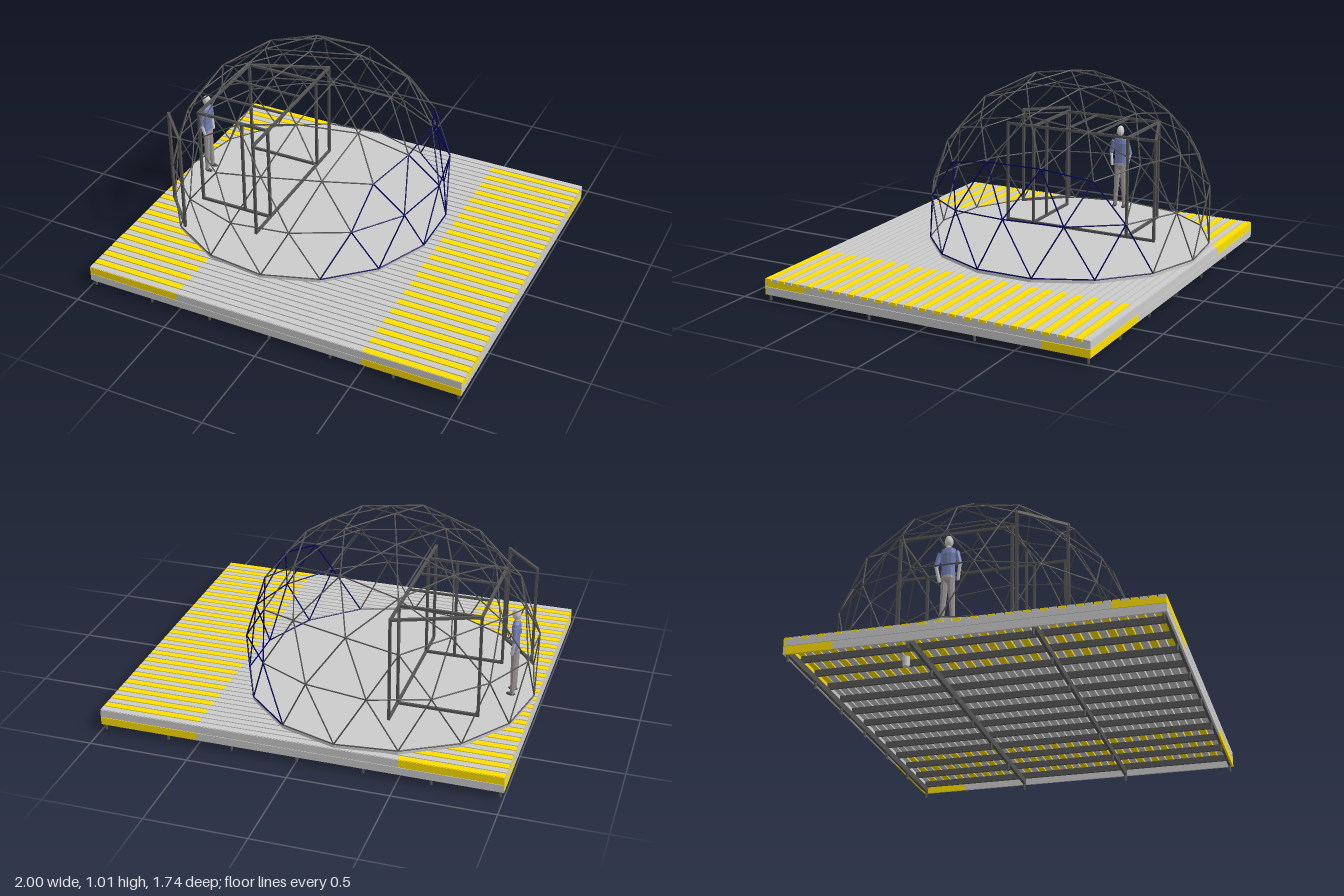
import * as THREE from 'three';

const mat = (color) => new THREE.MeshStandardMaterial({ color, flatShading: true });
const GREY = mat(0xcccccc), YELLOW = mat(0xffe000), STEEL = mat(0x555555), NAVY = mat(0x00005a);
const SHIRT = mat(0x7480b4), TROUSERS = mat(0x9c9696), DARK = mat(0x4a4a50);
const V = (x, y, z) => new THREE.Vector3(x, y, z);

function add(parent, name, geo, material, x = 0, y = 0, z = 0) {
  const m = new THREE.Mesh(geo, material);
  m.name = name;
  m.position.set(x, y, z);
  parent.add(m);
  return m;
}

function group(parent, name) {
  const g = new THREE.Group();
  g.name = name;
  parent.add(g);
  return g;
}

// Box given by its two opposite corners
function block(parent, name, material, x0, x1, y0, y1, z0, z1) {
  return add(parent, name, new THREE.BoxGeometry(x1 - x0, y1 - y0, z1 - z0), material,
    (x0 + x1) / 2, (y0 + y1) / 2, (z0 + z1) / 2);
}

// Round rod between two points
function rod(parent, name, a, b, r, material, sides = 5) {
  const m = add(parent, name, new THREE.CylinderGeometry(r, r, a.distanceTo(b), sides), material);
  m.position.copy(a).add(b).multiplyScalar(0.5);
  m.quaternion.setFromUnitVectors(V(0, 1, 0), b.clone().sub(a).normalize());
  return m;
}

// Square bar between two points
function bar(parent, name, a, b, w = 0.013) {
  const m = add(parent, name, new THREE.BoxGeometry(w, w, a.distanceTo(b) + w), STEEL);
  m.position.copy(a).add(b).multiplyScalar(0.5);
  m.lookAt(b);
  return m;
}

// Upright rectangular frame standing between two plan points
function frame(parent, name, x0, z0, x1, z1, y0, y1) {
  const g = group(parent, name);
  bar(g, 'post', V(x0, y0, z0), V(x0, y1, z0));
  bar(g, 'post', V(x1, y0, z1), V(x1, y1, z1));
  bar(g, 'topRail', V(x0, y1, z0), V(x1, y1, z1));
  bar(g, 'bottomRail', V(x0, y0, z0), V(x1, y0, z1));
}

const TOP = 0.115, FLOOR = 0.131, CX = -0.265, CZ = -0.14, R = 0.737;

function buildDeck(parent) {
  const deck = group(parent, 'deck');
  // Planks, with the yellow length alternating between the two ends
  const rows = 44, pitch = 1.744 / rows;
  for (let i = 0; i < rows; i++) {
    const z = -0.872 + i * pitch + 0.003, z1 = z + pitch - 0.006;
    const left = i % 2 === 0;
    block(deck, 'yellowPlank', YELLOW, left ? -1 : 0.5, left ? -0.5 : 1, 0.098, TOP, z, z1);
    block(deck, 'plank', GREY, left ? -0.5 : -1, left ? 1 : 0.5, 0.098, TOP, z, z1);
  }
  // Fascia boards in two courses on all four sides
  for (const s of [-1, 1]) {
    const z0 = s > 0 ? 0.862 : -0.872, x0 = s > 0 ? 0.99 : -1;
    block(deck, 'upperFascia', YELLOW, -1, -0.5, 0.074, 0.113, z0, z0 + 0.01);
    block(deck, 'upperFascia', GREY, -0.5, 1, 0.074, 0.113, z0, z0 + 0.01);
    block(deck, 'lowerFascia', GREY, -1, 0.5, 0.033, 0.072, z0, z0 + 0.01);
    block(deck, 'lowerFascia', YELLOW, 0.5, 1, 0.033, 0.072, z0, z0 + 0.01);
    block(deck, 'upperSideFascia', YELLOW, x0, x0 + 0.01, 0.074, 0.105, 0.635, 0.862);
    block(deck, 'upperSideFascia', GREY, x0, x0 + 0.01, 0.074, 0.105, -0.862, 0.635);
    block(deck, 'lowerSideFascia', GREY, x0, x0 + 0.01, 0.033, 0.072, -0.635, 0.862);
    block(deck, 'lowerSideFascia', YELLOW, x0, x0 + 0.01, 0.033, 0.072, -0.862, -0.635);
  }
  // Joists, bearers and feet
  for (let i = 0; i < 13; i++) {
    const x = -0.982 + i * 1.964 / 12;
    block(deck, 'joist', STEEL, x - 0.006, x + 0.006, 0.066, 0.098, -0.862, 0.862);
  }
  for (const z of [-0.855, -0.285, 0.285, 0.855]) {
    block(deck, 'bearer', STEEL, -0.99, 0.99, 0.034, 0.066, z - 0.007, z + 0.007);
    for (let i = 0; i < 7; i++) {
      add(deck, 'foot', new THREE.CylinderGeometry(0.007, 0.007, 0.05, 8), STEEL, -0.982 + i * 0.3273, 0.025, z);
    }
  }
  // Drain pipe through the floor
  add(deck, 'drainPipe', new THREE.CylinderGeometry(0.017, 0.017, 0.085, 16), GREY, -0.695, 0.091, -0.395);
}

function buildDome(parent) {
  const dome = group(parent, 'dome');
  dome.position.set(CX, 0.273, CZ);
  // Icosahedron standing on a corner: cap and middle band only, split in three
  const pts = [0, 1, 0], faces = [];
  for (let k = 0; k < 10; k++) {
    const a = Math.PI + (k * Math.PI) / 5;
    pts.push(Math.cos(a) * 0.8944, k % 2 ? -0.4472 : 0.4472, Math.sin(a) * 0.8944);
    faces.push(1 + k, 1 + (k + 1) % 10, 1 + (k + 2) % 10);
    if (k % 2 === 0) faces.push(0, 1 + k, 1 + (k + 2) % 10);
  }
  const pos = new THREE.PolyhedronGeometry(pts, faces, R, 2).attributes.position;
  const base = FLOOR - 0.273 + 0.003, low = -0.3 * R;
  const key = (v) => [v.x, v.y, v.z].map((n) => Math.round(n * 1000)).join();
  const place = (v) => (v.y < -0.05 ? V(v.x, base, v.z) : v);
  // Navy struts on the glazed side, narrowing upwards
  const glazed = (v) => v.y < 0.55 * R &&
    Math.abs(Math.atan2(v.z, v.x)) * 180 / Math.PI < 57 - 38 * v.y / R;
  const seen = new Set(), rim = new Map();
  for (let f = 0; f < pos.count; f += 3) {
    const t = [0, 1, 2].map((j) => new THREE.Vector3().fromBufferAttribute(pos, f + j));
    for (let j = 0; j < 3; j++) {
      const a = t[j], b = t[(j + 1) % 3];
      const id = [key(a), key(b)].sort().join('|');
      if (a.y < low || b.y < low || seen.has(id)) continue;
      seen.add(id);
      rod(dome, 'strut', place(a), place(b), 0.0035, glazed(a) && glazed(b) ? NAVY : STEEL);
      if (a.y < -0.05) rim.set(key(a), a);
      if (b.y < -0.05) rim.set(key(b), b);
    }
  }
  // Floor slab following the lowest ring
  const ring = [...rim.values()].sort((a, b) => Math.atan2(a.z, a.x) - Math.atan2(b.z, b.x));
  const shape = new THREE.Shape(ring.map((v) => new THREE.Vector2(v.x, -v.z)));
  const slab = new THREE.ExtrudeGeometry(shape, { depth: FLOOR - TOP, bevelEnabled: false });
  slab.rotateX(-Math.PI / 2);
  add(dome, 'floor', slab, GREY, 0, TOP - 0.273, 0);
}

function buildEntrance(parent) {
  const g = group(parent, 'entranceFrame');
  const y0 = 0.138, y1 = 0.667, xo = -0.77, xi = -0.37, zb = -0.415, zf = 0.13;
  // Vestibule sides with roof bars
  frame(g, 'frontSide', xo, zf, xi, zf, y0, y1);
  frame(g, 'backSide', xo, zb, xi, zb, y0, y1);
  bar(g, 'outerLintel', V(xo, y1, zb), V(xo, y1, zf));
  for (const z of [-0.235, -0.05]) bar(g, 'roofBar', V(xo, y1, z), V(xi, y1, z), 0.01);
  bar(g, 'middlePost', V(-0.52, y0, zf), V(-0.52, y1, zf));
  // Inner wall, slanted brace and open outer door leaf
  frame(g, 'innerWall', xi, -0.57, xi, 0.285, y0, y1);
  bar(g, 'slantedRail', V(xo, y1, zb), V(xi, y1, -0.57));
  frame(g, 'doorLeaf', -0.912, 0.19, -0.733, 0.385, y0, 0.658);
}

function buildPerson(parent) {
  const p = group(parent, 'person');
  p.position.set(-0.885, FLOOR, CZ);
  const ball = (name, m, x, y, z, sx, sy, sz) =>
    add(p, name, new THREE.SphereGeometry(1, 10, 8), m, x, y, z).scale.set(sx, sy, sz);
  // Torso and head
  const torso = new THREE.LatheGeometry([[0, 0], [0.036, 0], [0.032, 0.06], [0.042, 0.125], [0.034, 0.15], [0.012, 0.163],
    [0, 0.163]].map(([x, y]) => new THREE.Vector2(x, y)), 12);
  add(p, 'torso', torso, SHIRT, 0, 0.24, 0).scale.x = 0.55;
  rod(p, 'neck', V(0, 0.395, 0), V(0.002, 0.42, 0), 0.011, GREY, 8);
  ball('head', GREY, 0.003, 0.433, 0, 0.023, 0.03, 0.02);
  ball('hips', TROUSERS, 0, 0.24, 0, 0.023, 0.03, 0.036);
  // Legs, shoes and bent arms
  for (const s of [-1, 1]) {
    const leg = add(p, 'leg', new THREE.CylinderGeometry(0.019, 0.011, 0.235, 8), TROUSERS, 0, 0.125, s * 0.021);
    leg.rotation.x = -s * 0.06;
    ball('shoe', DARK, 0.008, 0.008, s * 0.028, 0.024, 0.009, 0.011);
    rod(p, 'sleeve', V(0, 0.375, s * 0.04), V(-0.004, 0.305, s * 0.057), 0.012, SHIRT, 8);
    rod(p, 'forearm', V(-0.004, 0.31, s * 0.057), V(0.01, 0.235, s * 0.044), 0.008, GREY, 8);
  }
}

export function createModel() {
  const model = new THREE.Group();
  model.name = 'domeOnDeck';
  buildDeck(model);
  buildDome(model);
  buildEntrance(model);
  buildPerson(model);
  return model;
}
